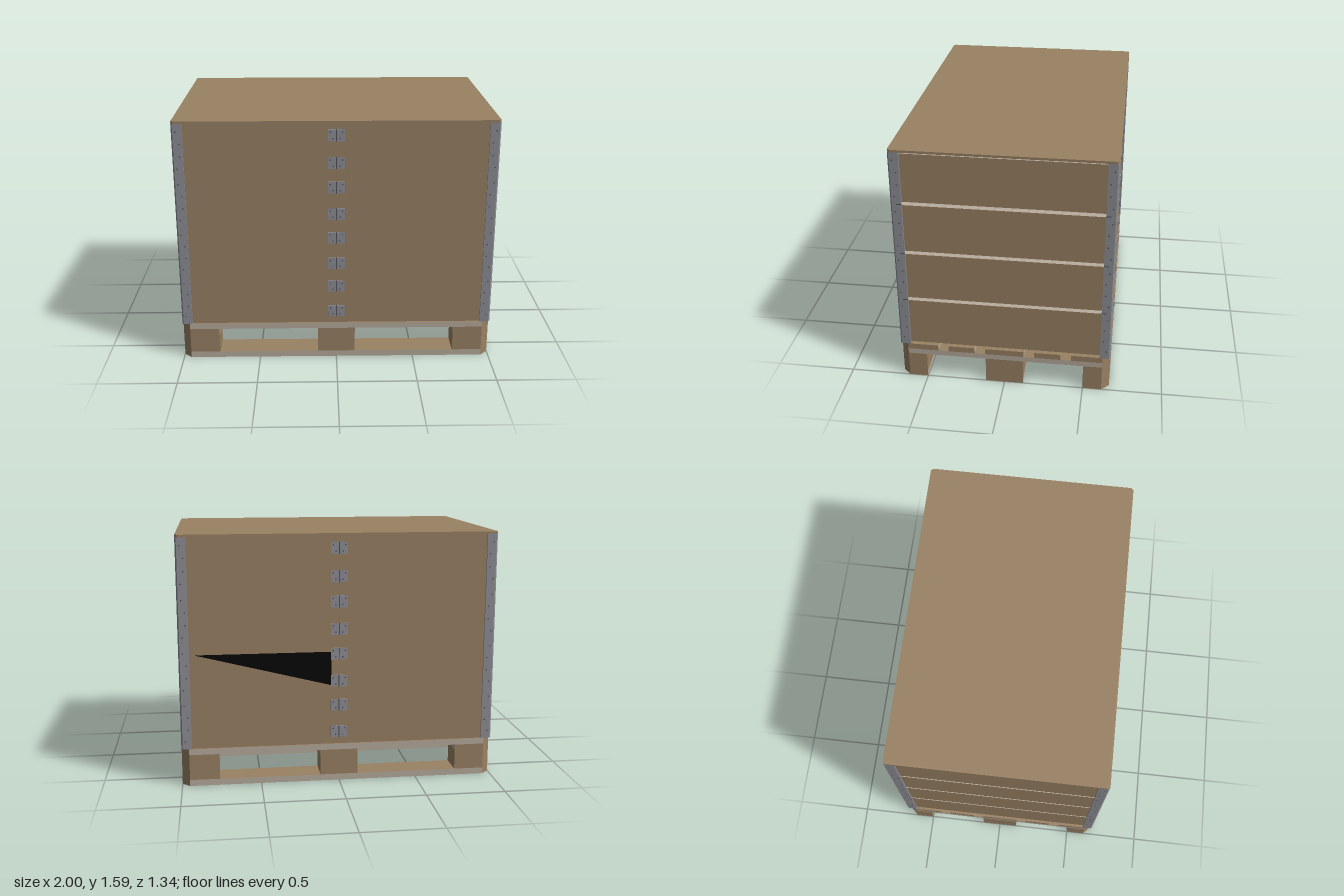
import * as THREE from 'three';

const HX = 1, HZ = 0.667;               // half length and half depth
const BASE = 0.243, TOP = 1.575;        // bottom and top of the walls
const COLLAR = (TOP - BASE) / 4;        // height of one stacked collar

export function createModel() {
  const root = new THREE.Group();
  const mat = (name, color, side = THREE.FrontSide) => {
    const m = new THREE.MeshStandardMaterial({ color, side });
    m.name = name;
    return m;
  };
  const wood = mat('wood', 0x9a8264);
  const paleWood = mat('pale wood edge', 0xb9ad9e);
  const steel = mat('steel', 0x8f9097);
  const darkSteel = mat('dark steel', 0x55565b);
  const black = mat('black', 0x050505, THREE.DoubleSide);

  const group = (name, parent = root) => {
    const g = new THREE.Group();
    g.name = name;
    parent.add(g);
    return g;
  };
  const add = (parent, name, geo, material) => {
    const m = new THREE.Mesh(geo, material);
    m.name = name;
    parent.add(m);
    return m;
  };

  // Faces whose normal lies along the given axis get the second material
  const paintEdges = (source, axis) => {
    const geo = source.index ? source.toNonIndexed() : source;
    const n = geo.attributes.normal;
    geo.clearGroups();
    for (let i = 0; i < n.count; i += 3) {
      const v = new THREE.Vector3().fromBufferAttribute(n, i);
      geo.addGroup(i, 3, Math.abs(v[axis]) > 0.9 ? 1 : 0);
    }
    return geo;
  };

  // Box given by its limits
  const block = (x0, x1, y0, y1, z0, z1) =>
    new THREE.BoxGeometry(x1 - x0, y1 - y0, z1 - z0)
      .translate((x0 + x1) / 2, (y0 + y1) / 2, (z0 + z1) / 2);

  // Flat slab, bevelled only where it reaches an outer corner of the model
  const slab = (x0, x1, y0, y1, z0, z1, cut = 0.048) => {
    const pts = [];
    const corners = [[x0, z0], [x0, z1], [x1, z1], [x1, z0]];
    corners.forEach(([x, z], i) => {
      if (Math.abs(x) < HX - 0.001 || Math.abs(z) < HZ - 0.001) {
        pts.push([x, z]);
        return;
      }
      const alongX = [x - Math.sign(x) * cut, z];
      const alongZ = [x, z - Math.sign(z) * cut];
      pts.push(...(i % 2 ? [alongZ, alongX] : [alongX, alongZ]));
    });
    const shape = new THREE.Shape(pts.map(([x, z]) => new THREE.Vector2(x, -z)));
    return new THREE.ExtrudeGeometry(shape, { depth: y1 - y0, bevelEnabled: false })
      .rotateX(-Math.PI / 2).translate(0, y0, 0);
  };

  // Pallet: runners, blocks, cross boards and deck boards
  const pallet = group('pallet');
  const xBands = [[-HX, -0.762], [-0.12, 0.12], [0.762, HX]];
  const zBands = [[-HZ, -0.5], [-0.12, 0.12], [0.5, HZ]];
  for (const [z0, z1] of zBands) {
    add(pallet, 'bottomRunner', paintEdges(slab(-HX, HX, 0, 0.04, z0, z1), 'z'), [wood, paleWood]);
    for (const [x0, x1] of xBands)
      add(pallet, 'palletBlock', slab(x0, x1, 0.04, 0.17, z0, z1), wood);
  }
  for (const [x0, x1] of xBands)
    add(pallet, 'crossBoard', paintEdges(slab(x0, x1, 0.17, 0.205, -HZ, HZ), 'x'), [wood, paleWood]);
  const deckBands = [[-HZ, -0.424], [-0.357, -0.189], [-0.124, 0.124], [0.189, 0.357], [0.424, HZ]];
  for (const [z0, z1] of deckBands)
    add(pallet, 'deckBoard', paintEdges(slab(-HX, HX, 0.205, BASE, z0, z1), 'z'), [wood, paleWood]);

  // Crate body, long walls and lid
  const crate = group('crate');
  add(crate, 'crateCore', block(-0.94, 0.94, BASE, TOP, -0.645, 0.645), wood);
  for (const s of [-1, 1])
    add(crate, 'longWall', block(-0.986, 0.986, BASE, TOP, s * 0.648 - 0.008, s * 0.648 + 0.008), wood);
  add(crate, 'lid', slab(-HX, HX, TOP, 1.59, -HZ, HZ, 0.014), wood);

  // End walls: four boards a side, separated by grooves with pale edges
  for (const s of [-1, 1])
    for (let i = 0; i < 4; i++) {
      const y = BASE + i * COLLAR;
      const geo = block(s * 0.963 - 0.023, s * 0.963 + 0.023, y + 0.011, y + COLLAR - 0.011, -0.64, 0.64);
      add(crate, 'endBoard', paintEdges(geo, 'y'), [wood, paleWood]);
    }

  // Corner posts: bevelled angle section with rivets and joint slots
  const L = 0.066, T = 0.012, B = 0.009;
  const section = new THREE.Shape([
    [-L, 0], [-B, 0], [0, -B], [0, -L], [-T, -L], [-T, -T], [-L, -T],
  ].map(([x, y]) => new THREE.Vector2(x, y)).reverse());
  const postGeo = new THREE.ExtrudeGeometry(section, { depth: TOP - BASE, bevelEnabled: false })
    .rotateX(-Math.PI / 2);                     // legs along -x and +z
  const rivetGeo = new THREE.CylinderGeometry(0.005, 0.005, 0.004, 8);
  const rivetZ = rivetGeo.clone().rotateX(Math.PI / 2);
  const rivetX = rivetGeo.clone().rotateZ(Math.PI / 2);

  for (const sx of [-1, 1])
    for (const sz of [-1, 1]) {
      const post = group('cornerPost');
      const angle = add(post, 'postAngle', postGeo, steel);
      // quarter turns carry the angle section to each corner
      angle.rotation.y = sx > 0 ? (sz > 0 ? -Math.PI / 2 : 0) : (sz > 0 ? Math.PI : Math.PI / 2);
      angle.position.set(sx * HX, BASE, sz * HZ);
      for (let i = 0; i < 4; i++) {
        const y = BASE + i * COLLAR;
        for (const f of [0.15, 0.38, 0.62, 0.85]) {
          const inset = f > 0.3 && f < 0.7 ? 0.046 : 0.026;
          add(post, 'rivet', rivetZ, darkSteel).position.set(sx * (HX - inset), y + f * COLLAR, sz * (HZ - 0.001));
          add(post, 'rivet', rivetX, darkSteel).position.set(sx * (HX - 0.001), y + f * COLLAR, sz * (HZ - inset));
        }
        if (i > 0)
          add(post, 'jointSlot', new THREE.BoxGeometry(0.004, 0.006, 0.03), darkSteel)
            .position.set(sx * (HX - 0.001), y, sz * 0.616);
      }
    }

  // Folding hinges up the middle of both long walls, two per collar
  const plateGeo = new THREE.BoxGeometry(0.05, 0.076, 0.006);
  const pinGeo = new THREE.CylinderGeometry(0.004, 0.004, 0.076, 8);
  for (const s of [-1, 1])
    for (let i = 0; i < 4; i++)
      for (const dy of [0.082, 0.257]) {
        const hinge = group('hinge');
        hinge.position.set(0, BASE + i * COLLAR + dy, s * 0.659);
        add(hinge, 'hingePin', pinGeo, darkSteel);
        for (const side of [-1, 1]) {
          add(hinge, 'hingePlate', plateGeo, steel).position.x = side * 0.028;
          for (const v of [-1, 1])
            add(hinge, 'rivet', rivetZ, darkSteel).position.set(side * (0.03 + v * 0.008), v * 0.02, s * 0.002);
        }
      }

  // Black wedge marking on the back wall
  const wedge = new THREE.Shape([
    new THREE.Vector2(0.905, 0.846), new THREE.Vector2(0.05, 0.846), new THREE.Vector2(0.05, 0.63),
  ]);
  add(root, 'blackWedge', new THREE.ShapeGeometry(wedge), black).position.z = -0.6585;

  return root;
}
